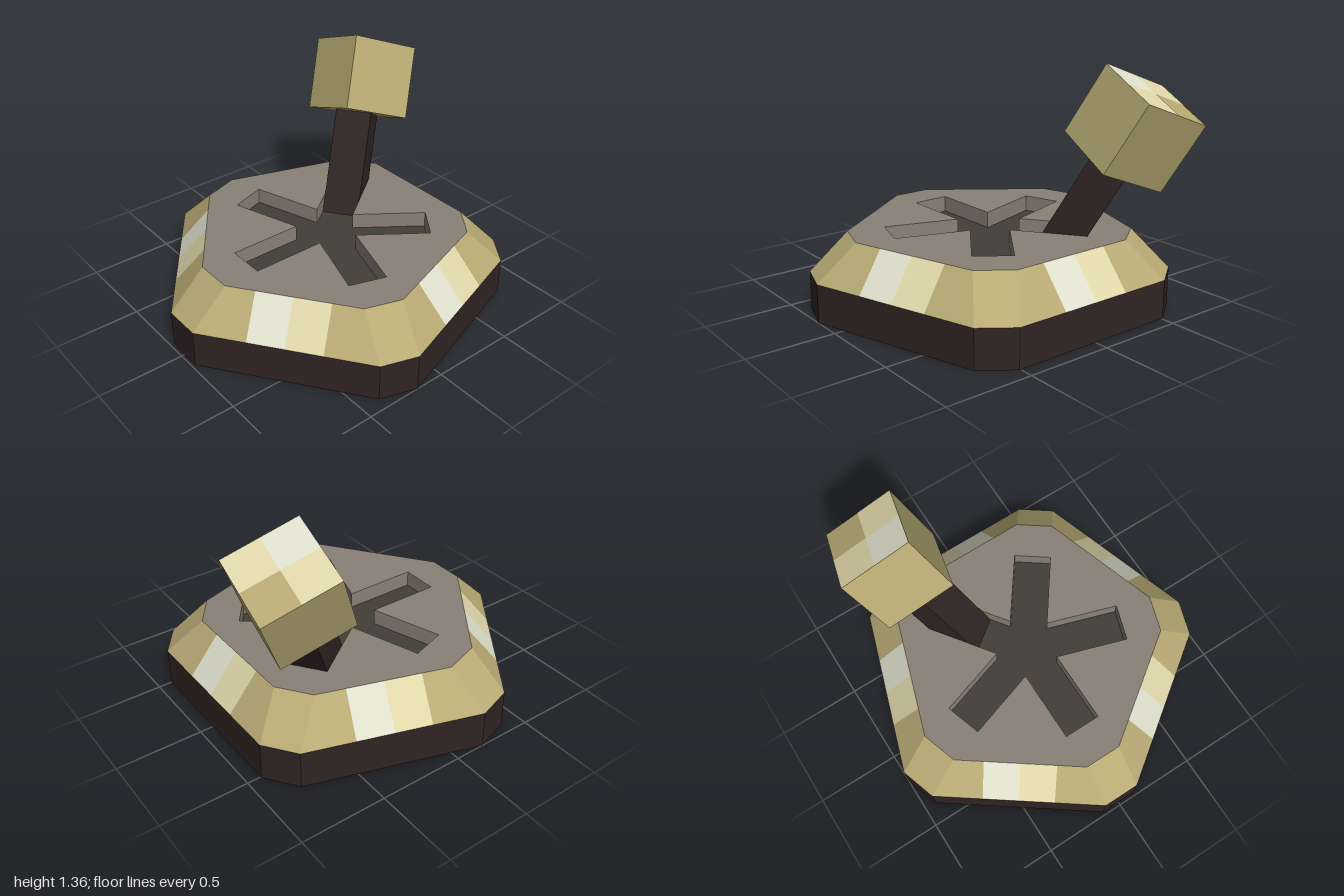
import * as THREE from 'three';

const STEP = Math.PI * 2 / 5;   // five-fold base
const HALF = 0.11;              // half width of slots and cut corners
const R_LOW = 1.015, R_TOP = 0.797, R_SLOT = 0.585;
const Y_PLINTH = 0.22, Y_TOP = 0.43, Y_SLOT = 0.335;

const material = (name, color) => {
  const m = new THREE.MeshStandardMaterial({ color });
  m.name = name;
  return m;
};

// point at distance r in direction a (0 = front), shifted sideways by s
const polar = (r, a, s = 0) => [
  r * Math.sin(a) + s * Math.cos(a),
  r * Math.cos(a) - s * Math.sin(a),
];

// outline with blunt corners; with a notch radius it becomes a star
function outline(r, notch) {
  const pts = [];
  for (let k = 0; k < 5; k++) {
    const a = k * STEP;
    pts.push(polar(r, a, -HALF), polar(r, a, HALF));
    if (notch) pts.push(polar(notch, a + STEP / 2));
  }
  return pts.map(([x, z]) => new THREE.Vector2(x, -z));
}

export function createModel() {
  const gold = material('gold', 0xb8aa74);
  const cream = material('cream', 0xe0d7aa);
  const ivory = material('ivory', 0xdfe0cc);
  const grey = material('warm grey', 0x8a8177);
  const slotGrey = material('slot grey', 0x423e37);
  const dark = material('dark brown', 0x2f2423);

  const model = new THREE.Group();
  model.name = 'leverBase';
  const body = new THREE.Group();
  body.name = 'body';
  body.position.z = -0.035;
  model.add(body);

  const add = (parent, name, geometry, mat) => {
    const mesh = new THREE.Mesh(geometry, mat);
    mesh.name = name;
    parent.add(mesh);
    return mesh;
  };
  const slab = (shape, y0, y1) =>
    new THREE.ExtrudeGeometry(shape, { depth: y1 - y0, bevelEnabled: false })
      .rotateX(-Math.PI / 2).translate(0, y0, 0);

  // Dark plinth
  add(body, 'plinth', slab(new THREE.Shape(outline(R_LOW)), 0, Y_PLINTH), dark);

  // Top plate with a star-shaped slot, and the slot floor
  const star = outline(R_SLOT, HALF / Math.sin(STEP / 2));
  const plate = new THREE.Shape(outline(R_TOP));
  plate.holes.push(new THREE.Path(star));
  add(body, 'topPlate', slab(plate, Y_SLOT, Y_TOP), grey);
  add(body, 'slotFloor', new THREE.ShapeGeometry(new THREE.Shape(star))
    .rotateX(-Math.PI / 2).translate(0, Y_SLOT + 0.001, 0), slotGrey);

  // Sloping rim: gold, with an ivory and a cream panel on each long side
  const panels = new Map([[gold, []], [ivory, []], [cream, []]]);
  const quad = (mat, low0, low1, top0, top1) => {
    const a = [low0[0], Y_PLINTH, low0[1]], b = [low1[0], Y_PLINTH, low1[1]];
    const c = [top1[0], Y_TOP, top1[1]], d = [top0[0], Y_TOP, top0[1]];
    panels.get(mat).push(...a, ...b, ...c, ...a, ...c, ...d);
  };
  const half = STEP / 2;
  const sideDistance = r => r * Math.cos(half) + HALF * Math.sin(half);
  const sideHalf = r => r * Math.sin(half) - HALF * Math.cos(half);
  for (let k = 0; k < 5; k++) {
    const a = k * STEP, mid = a + half;
    quad(gold, polar(R_LOW, a, -HALF), polar(R_LOW, a, HALF),
      polar(R_TOP, a, -HALF), polar(R_TOP, a, HALF));
    const cuts = r => [-sideHalf(r), -0.21, 0, 0.21, sideHalf(r)]
      .map(s => polar(sideDistance(r), mid, s));
    const low = cuts(R_LOW), top = cuts(R_TOP);
    [gold, ivory, cream, gold].forEach((mat, i) =>
      quad(mat, low[i], low[i + 1], top[i], top[i + 1]));
  }
  for (const [mat, positions] of panels) {
    const g = new THREE.BufferGeometry();
    g.setAttribute('position', new THREE.Float32BufferAttribute(positions, 3));
    g.computeVertexNormals();
    add(body, mat.name + 'Rim', g, mat);
  }

  // Lever leaning along the back right slot, origin at the knob centre
  const lever = new THREE.Group();
  lever.name = 'lever';
  const lean = STEP * 3;
  const [lx, lz] = polar(0.804, lean);
  lever.position.set(lx, 1.02, lz);
  lever.rotation.set(Math.PI / 6, lean, 0, 'YXZ');
  body.add(lever);
  add(lever, 'stick', new THREE.BoxGeometry(0.218, 0.77, 0.218)
    .translate(0, -0.485, 0), dark);

  // Cube knob turned corner-on, with coloured quarters on its top
  const size = 0.435;
  const knob = new THREE.Group();
  knob.name = 'knob';
  knob.rotation.y = Math.PI / 4;
  lever.add(knob);
  add(knob, 'knobCube', new THREE.BoxGeometry(size, size, size), gold);
  for (const [x, z, mat] of [[1, -1, ivory], [-1, -1, cream], [1, 1, cream]]) {
    add(knob, 'knobPanel', new THREE.PlaneGeometry(size / 2, size / 2)
      .rotateX(-Math.PI / 2)
      .translate(x * size / 4, size / 2 + 0.002, z * size / 4), mat);
  }
  return model;
}
